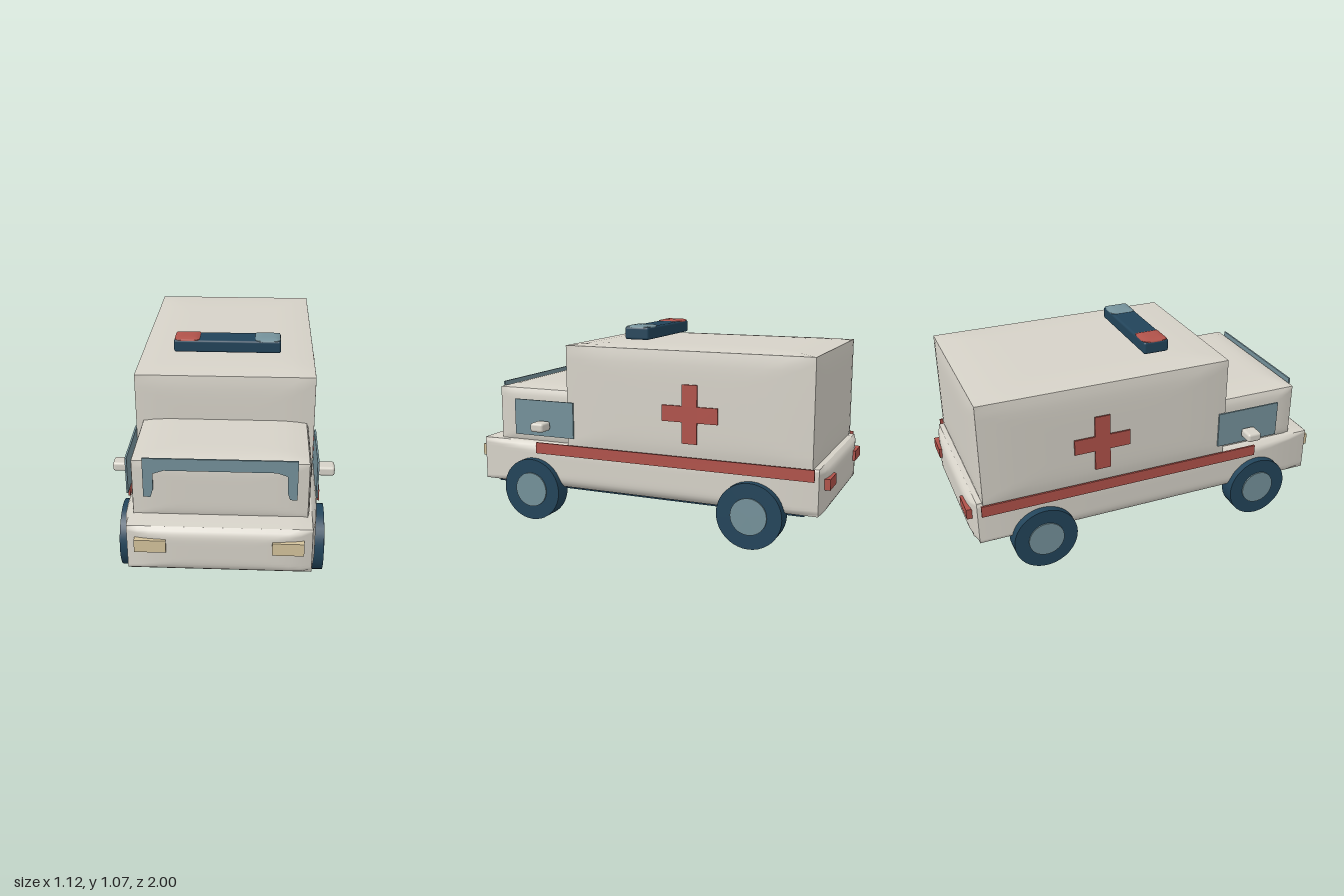
import * as THREE from 'three';
import { RoundedBoxGeometry } from 'three/addons/geometries/RoundedBoxGeometry.js';

const mat = (name, color) => {
  const m = new THREE.MeshStandardMaterial({ color });
  m.name = name;
  return m;
};

// Box given by its limits whose faces swell outward; drop = how far each face falls back at its rim
function swollenBox([x0, x1], [y0, y1], [z0, z1], drop, power = 6) {
  const g = new THREE.BoxGeometry(2, 2, 2, 16, 16, 16);
  const p = g.attributes.position;
  const half = [(x1 - x0) / 2, (y1 - y0) / 2, (z1 - z0) / 2];
  for (let i = 0; i < p.count; i++) {
    const n = [p.getX(i), p.getY(i), p.getZ(i)];
    const rim = n.map((v) => Math.pow(Math.abs(v), power));
    const q = n.map((v, a) => {
      const fall = Math.max(rim[(a + 1) % 3], rim[(a + 2) % 3]);
      return v * (half[a] - drop[a] * fall);
    });
    p.setXYZ(i, q[0] + (x0 + x1) / 2, q[1] + (y0 + y1) / 2, q[2] + (z0 + z1) / 2);
  }
  g.computeVertexNormals();
  return g;
}

// Plain or rounded box given by its limits
function box([x0, x1], [y0, y1], [z0, z1], radius = 0) {
  const s = [x1 - x0, y1 - y0, z1 - z0];
  const g = radius ? new RoundedBoxGeometry(...s, 3, radius) : new THREE.BoxGeometry(...s);
  return g.translate((x0 + x1) / 2, (y0 + y1) / 2, (z0 + z1) / 2);
}

const polygon = (pts) => new THREE.Shape(pts.map(([x, y]) => new THREE.Vector2(x, y)));

export function createModel() {
  const white = mat('offWhitePaint', 0xd6d2c8);
  const red = mat('redPaint', 0xb0524a);
  const dark = mat('darkBlue', 0x22445a);
  const glass = mat('blueGreyGlass', 0x74919a);
  const cream = mat('creamLamp', 0xd4c39c);

  const model = new THREE.Group();
  model.name = 'ambulance';
  const add = (name, geometry, material) => {
    const m = new THREE.Mesh(geometry, material);
    m.name = name;
    model.add(m);
    return m;
  };

  // Body shells
  add('lowerBody', swollenBox([-0.475, 0.475], [0.165, 0.445], [-0.985, 0.985], [0.035, 0.022, 0.032], 6), white);
  add('chassis', box([-0.42, 0.42], [0.173, 0.24], [-0.88, 0.88]), dark);
  add('rearCompartment', swollenBox([-0.468, 0.468], [0.4, 0.977], [-0.935, 0.42], [0.011, 0.013, 0.01]), white);
  add('cab', swollenBox([-0.432, 0.432], [0.4, 0.73], [0.3, 0.862], [0.014, 0.016, 0.012]), white);

  // Windscreen surround: an upside-down U
  const screen = polygon([
    [-0.365, 0.53], [-0.33, 0.53], [-0.318, 0.57], [-0.316, 0.655], [-0.265, 0.673],
    [0.265, 0.673], [0.316, 0.655], [0.318, 0.57], [0.33, 0.53], [0.365, 0.53],
    [0.365, 0.735], [-0.365, 0.735],
  ]);
  add('windscreenSurround', new THREE.ExtrudeGeometry(screen, { depth: 0.009, bevelEnabled: false }).translate(0, 0, 0.858), glass);

  // Cross outline, drawn once for both sides
  const a = 0.15, b = 0.041;
  const cross = polygon([
    [b, -a], [b, -b], [a, -b], [a, b], [b, b], [b, a],
    [-b, a], [-b, b], [-a, b], [-a, -b], [-b, -b], [-b, -a],
  ]);

  for (const s of [1, -1]) {
    const side = s > 0 ? 'left' : 'right';
    const span = (u, v) => (s > 0 ? [u, v] : [-v, -u]);

    // Side panels
    add(side + 'Window', box(span(0.461, 0.47), [0.465, 0.66], [0.37, 0.73]), glass);
    add(side + 'Stripe', box(span(0.476, 0.486), [0.37, 0.43], [-0.94, 0.595]), red);
    const c = new THREE.ExtrudeGeometry(cross, { depth: 0.009, bevelEnabled: false });
    add(side + 'Cross', c.translate(0, 0, -0.0045).rotateY(Math.PI / 2).translate(s * 0.481, 0.65, -0.3), red);
    add(side + 'Mirror', box(span(0.474, 0.56), [0.503, 0.552], [0.505, 0.583], 0.014), white);

    // Lamps
    add(side + 'Headlight', box(span(0.25, 0.4), [0.305, 0.37], [0.94, 0.998]), cream);
    add(side + 'Taillight', box(span(0.25, 0.39), [0.312, 0.367], [-0.998, -0.94]), red);

    // Wheels
    for (const [end, z] of [['Front', 0.615], ['Rear', -0.625]]) {
      const tyre = new THREE.CylinderGeometry(0.169, 0.169, 0.096, 40).rotateZ(Math.PI / 2);
      add(side + end + 'Tyre', tyre.translate(s * 0.462, 0.17, z), dark);
      const hub = new THREE.CylinderGeometry(0.094, 0.094, 0.1, 32).rotateZ(Math.PI / 2);
      add(side + end + 'Hub', hub.translate(s * 0.467, 0.17, z), glass);
    }
  }

  // Roof light bar, raised just above the roof
  add('lightBar', box([-0.282, 0.282], [0.99, 1.057], [0.012, 0.15], 0.012), dark);
  add('rightBeacon', swollenBox([-0.28, -0.145], [1.035, 1.067], [0.014, 0.148], [0.006, 0.007, 0.006], 4), red);
  add('leftBeacon', swollenBox([0.145, 0.28], [1.035, 1.067], [0.014, 0.148], [0.006, 0.007, 0.006], 4), glass);

  return model;
}
